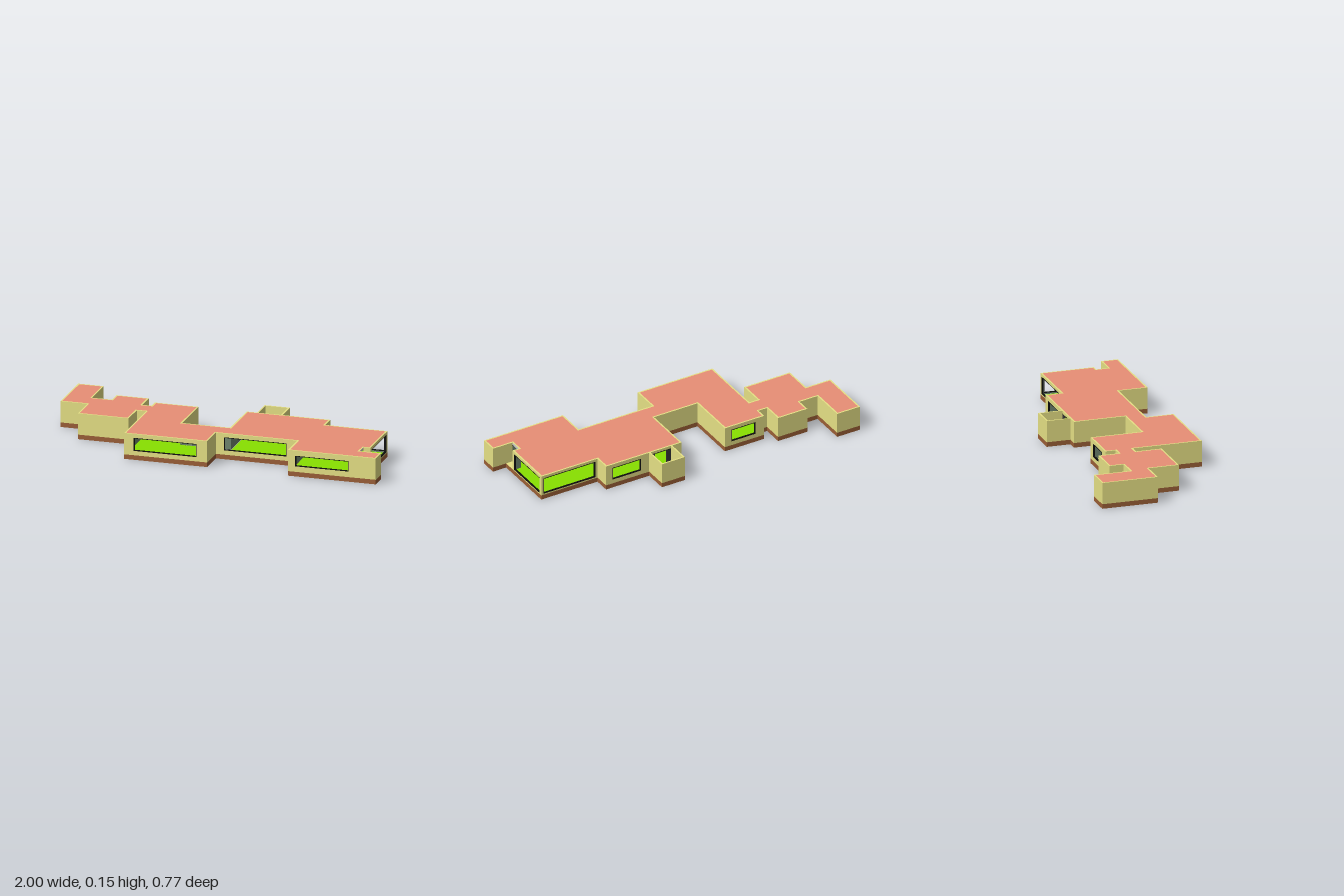
import * as THREE from 'three';

const T = 0.009;        // wall thickness
const BASE = 0.027;     // plinth height
const TOP = 0.153;      // wall height

const mat = (color) => new THREE.MeshStandardMaterial({ color });
const wallMat = mat(0xe6e185), liningMat = mat(0x6f856e), roofMat = mat(0xe88f76);
const baseMat = mat(0x9b5f36), floorMat = mat(0x88e000), frameMat = mat(0x0c0c0c);
const darkMat = mat(0x333336), lintelMat = mat(0xcccccc);

function add(parent, name, geometry, material, x = 0, y = 0, z = 0) {
  const mesh = new THREE.Mesh(geometry, material);
  mesh.name = name;
  mesh.position.set(x, y, z);
  parent.add(mesh);
  return mesh;
}

// Plan shape from [x, z] points, laid flat with its thickness going up
const path = (pts) => pts.map(([x, z]) => new THREE.Vector2(x, -z));
function slab(outer, inner, depth) {
  const shape = new THREE.Shape(path(outer));
  if (inner) shape.holes.push(new THREE.Path(path(inner)));
  return new THREE.ExtrudeGeometry(shape, { depth, bevelEnabled: false }).rotateX(-Math.PI / 2);
}

// Move every side of a right-angled outline inwards by t
function inset(pts, t) {
  const n = pts.length;
  return pts.map((p, i) => {
    const a = pts[(i + n - 1) % n], b = pts[(i + 1) % n];
    const d1 = [Math.sign(p[0] - a[0]), Math.sign(p[1] - a[1])];
    const d2 = [Math.sign(b[0] - p[0]), Math.sign(b[1] - p[1])];
    return [p[0] - t * (d1[1] + d2[1]), p[1] + t * (d1[0] + d2[0])];
  });
}

// One wall face from p to q, with openings [from, to, bottom, top] in plan coordinates
function wallFace(parent, name, p, q, material, openings, bottom, framed) {
  const dx = q[0] - p[0], dz = q[1] - p[1], len = Math.hypot(dx, dz);
  const k = Math.abs(dx) > Math.abs(dz) ? 0 : 1;
  const group = new THREE.Group();
  group.name = name;
  group.position.set(p[0], 0, p[1]);
  group.rotation.y = Math.atan2(-dz, dx);
  const rect = (C, x0, x1, y0, y1) => new C([[x0, y0], [x1, y0], [x1, y1], [x0, y1]]
    .map(([x, y]) => new THREE.Vector2(x, y)));
  const shape = rect(THREE.Shape, 0, len, bottom, TOP);
  for (const [from, to, y0, y1] of openings) {
    const s = [Math.abs(from - p[k]), Math.abs(to - p[k])].sort((a, b) => a - b);
    shape.holes.push(rect(THREE.Path, s[0], s[1], y0, y1));
    if (framed) frame(group, s[0], s[1], y0, y1);
  }
  add(group, name + 'Face', new THREE.ShapeGeometry(shape), material);
  parent.add(group);
}

// Four thin bars around an opening, almost flush with the wall
function frame(parent, x0, x1, y0, y1) {
  const w = 0.0035, d = T + 0.002, z = -T / 2;
  const g = new THREE.Group();
  g.name = 'windowFrame';
  for (const y of [y0 + w / 2, y1 - w / 2])
    add(g, 'frameRail', new THREE.BoxGeometry(x1 - x0, w, d), frameMat, (x0 + x1) / 2, y, z);
  for (const x of [x0 + w / 2, x1 - w / 2])
    add(g, 'frameStile', new THREE.BoxGeometry(w, y1 - y0, d), frameMat, x, (y0 + y1) / 2, z);
  parent.add(g);
}

// Plinth, floor, two-sided walls and optional roof over one outline
function building(name, pts, { basePts = pts, openings = {}, doorEdge = -1, skipEdge = -1, roofed = true, lining = liningMat }) {
  const g = new THREE.Group();
  g.name = name;
  const inner = inset(pts, T), baseInner = inset(basePts, T), n = pts.length;
  add(g, 'plinth', slab(basePts, baseInner, BASE), baseMat);
  add(g, 'floor', slab(baseInner, null, BASE - 0.001), floorMat);
  add(g, 'wallTop', slab(pts, inner, 0.0005), wallMat, 0, TOP - 0.0005);
  if (roofed) add(g, 'roof', slab(inner, null, 0.004), roofMat, 0, TOP - 0.004);
  for (let i = 0; i < n; i++) {
    if (i === skipEdge) continue;
    const j = (i + 1) % n, holes = openings[i] || [];
    const bottom = i === doorEdge ? 0.137 : BASE;
    wallFace(g, 'outerWall', pts[j], pts[i], i === doorEdge ? lintelMat : wallMat, holes, bottom, true);
    wallFace(g, 'innerWall', inner[i], inner[j], lining, holes, bottom, false);
  }
  return g;
}

export function createModel() {
  const model = new THREE.Group();
  model.name = 'house';

  const outline = [
    [-1, -0.387], [-0.85, -0.387], [-0.85, -0.17], [-0.733, -0.17], [-0.733, -0.255],
    [-0.542, -0.255], [-0.542, -0.133], [-0.487, -0.133], [-0.487, -0.195], [-0.23, -0.195],
    [-0.23, 0.108], [0.053, 0.108], [0.053, -0.197], [0.547, -0.197], [0.547, -0.102],
    [0.914, -0.102], [0.914, 0.215], [0.873, 0.215], [0.873, 0.286], [1, 0.286],
    [1, 0.387], [0.483, 0.387], [0.483, 0.215], [0.002, 0.215], [0.002, 0.378],
    [-0.487, 0.378], [-0.487, -0.031], [-0.542, -0.031], [-0.542, 0.121], [-0.841, 0.121],
    [-0.841, -0.058], [-1, -0.058],
  ];
  // The plinth runs straight past the entrance recess
  const basePts = [...outline.slice(0, 16), [0.914, 0.286], ...outline.slice(19)];
  model.add(building('mainHouse', outline, {
    basePts,
    doorEdge: 17,
    openings: {
      8: [[-0.43, -0.273, 0.053, 0.13]],
      12: [[0.118, 0.262, BASE + 0.001, 0.137], [0.32, 0.505, 0.053, 0.13]],
      14: [[0.562, 0.899, 0.035, 0.137]],
      15: [[-0.085, 0.197, 0.035, 0.137]],
      20: [[0.525, 0.84, 0.06, 0.122]],
      22: [[0.05, 0.42, 0.053, 0.13]],
      24: [[-0.43, -0.06, 0.053, 0.13]],
    },
  }));

  // Open courtyard behind the house
  const yard = [[0.115, -0.188], [0.115, -0.337], [0.265, -0.337], [0.265, -0.188]];
  model.add(building('courtyard', yard, { skipEdge: 3, roofed: false, lining: wallMat }));

  // Courtyard doors: dark side panels and a pane seen from indoors
  for (const x of [0.135, 0.243])
    add(model, 'courtyardDoor', new THREE.BoxGeometry(0.034, 0.109, 0.006), darkMat, x, 0.0825, -0.192);
  add(model, 'courtyardPane', new THREE.PlaneGeometry(0.075, 0.109), liningMat, 0.189, 0.0825, -0.192);

  // Inside wall between the two right-hand rooms
  add(model, 'partition', new THREE.BoxGeometry(T, TOP - BASE - 0.004, 0.216), liningMat,
    0.4875, (TOP + BASE - 0.004) / 2, 0.098);

  // Entrance step in the recess
  add(model, 'entranceStep', new THREE.BoxGeometry(0.041, 0.001, 0.071), wallMat, 0.8935, BASE, 0.2505);

  return model;
}
